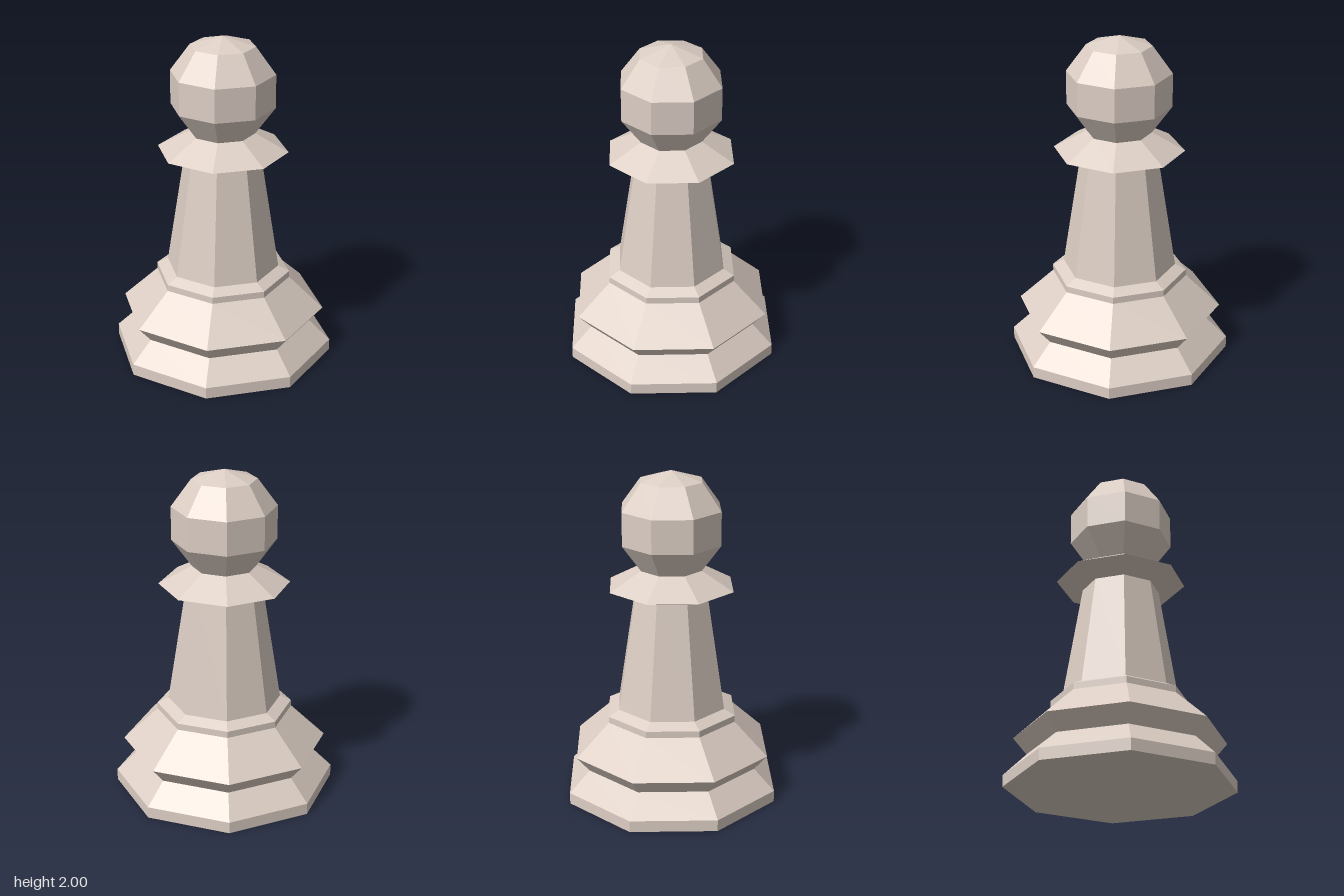
import * as THREE from 'three';

const SIDES = 8;

export function createModel() {
  const group = new THREE.Group();
  group.name = 'chessPawn';

  const ivory = new THREE.MeshStandardMaterial({ color: 0xdccec4 });
  ivory.name = 'warm ivory';
  ivory.flatShading = true;

  // Each part is an eight-sided turned profile of [radius, height], bottom to top.
  // Neighbouring parts share a ring, so the whole piece is one closed skin.
  const parts = {
    // Underside, foot rim and slope into the groove
    foot: [[0, 0], [0.67, 0], [0.67, 0.07], [0.54, 0.196]],
    // Flared skirt above the groove
    skirt: [[0.54, 0.196], [0.62, 0.292], [0.41, 0.488]],
    // Narrow band under the stem
    band: [[0.41, 0.488], [0.41, 0.528], [0.342, 0.562]],
    // Tapered stem
    stem: [[0.342, 0.562], [0.232, 1.255]],
    // Sharp-edged collar
    collar: [[0.232, 1.255], [0.39, 1.308], [0.192, 1.416]],
    // Faceted round head
    head: [[0.192, 1.416], [0.31, 1.578], [0.31, 1.78], [0.192, 1.942], [0, 2]],
  };

  for (const [name, profile] of Object.entries(parts)) {
    const points = profile.map(([r, y]) => new THREE.Vector2(r, y));
    const mesh = new THREE.Mesh(new THREE.LatheGeometry(points, SIDES), ivory);
    mesh.name = name;
    group.add(mesh);
  }

  return group;
}
